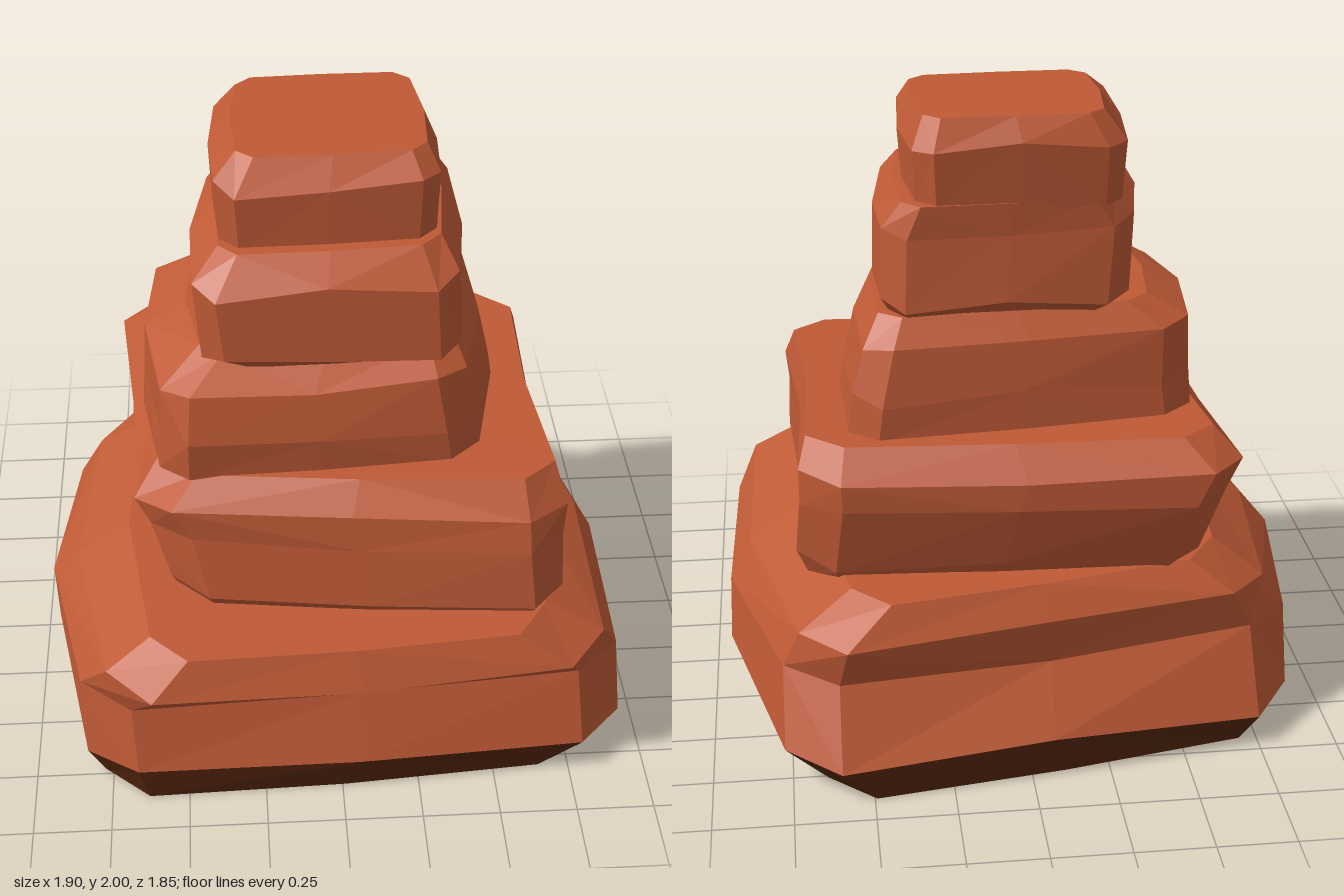
import * as THREE from 'three';

function makeMaterial(name, color) {
  const material = new THREE.MeshStandardMaterial({ color, flatShading: true });
  material.name = name;
  return material;
}

const sandstone = makeMaterial('red sandstone', 0xbf5a36);
const darkEarth = makeMaterial('dark earth', 0x57270f);

// Small seeded generator for chipped edges, from -0.5 to 0.5
function makeRandom(seed) {
  let s = seed;
  return () => {
    s = (s * 16807) % 2147483647;
    return s / 2147483647 - 0.5;
  };
}

// Plan of a slab: four corners [x, z], each cut off, with the left and right sides bowed outwards
function makeOutline(corners, bow) {
  return corners.flatMap(([x, z], i) => {
    const [nx, nz] = corners[(i + 1) % 4];
    const dx = nx - x, dz = nz - z;
    const along = (t, out) => [x + dx * t + dz * out, z + dz * t - dx * out];
    return [along(0.09, 0), along(0.5, i % 2 ? bow : 0.01), along(0.91, 0)];
  });
}

// One slab: its plan is fitted to each ring [y, xMin, xMax, zMin, zMax], from the bottom up
function makeSlab(name, underside, seed, corners, bow, rings) {
  const random = makeRandom(seed);
  const outline = makeOutline(corners, bow);
  const n = outline.length;
  const fractions = [0, 1].map((axis) => {
    const values = outline.map((p) => p[axis]);
    const min = Math.min(...values);
    const size = Math.max(...values) - min;
    return values.map((v) => (v - min) / size);
  });

  const loops = rings.map(([y, x0, x1, z0, z1], i) => {
    const rough = i > 0 && i < rings.length - 1 ? 1 : 0;
    return outline.map((_, j) => {
      const chip = 1 + rough * random() * 0.025;
      const x = THREE.MathUtils.lerp(x0, x1, fractions[0][j]);
      const z = THREE.MathUtils.lerp(z0, z1, fractions[1][j]);
      return [x * chip, y + rough * random() * 0.04, z * chip];
    });
  });

  const positions = [];
  const tri = (a, b, c) => positions.push(...a, ...b, ...c);
  const cap = (loop, emit) => {
    const centre = [0, 1, 2].map((k) => loop.reduce((sum, p) => sum + p[k], 0) / n);
    loop.forEach((p, j) => emit(centre, p, loop[(j + 1) % n]));
  };
  // Side strip, with diagonals varied like broken stone
  const strip = (i) => {
    for (let j = 0; j < n; j++) {
      const k = (j + 1) % n;
      const a = loops[i][k], b = loops[i][j], c = loops[i + 1][j], d = loops[i + 1][k];
      if ((i + j) % 3) {
        tri(a, b, c);
        tri(a, c, d);
      } else {
        tri(a, b, d);
        tri(b, c, d);
      }
    }
  };

  // The underside is the bottom cap and the lowest strip
  cap(loops[0], tri);
  strip(0);
  const split = positions.length / 3;
  for (let i = 1; i + 1 < loops.length; i++) strip(i);
  cap(loops[loops.length - 1], (centre, p, q) => tri(centre, q, p));

  const geometry = new THREE.BufferGeometry();
  geometry.setAttribute('position', new THREE.Float32BufferAttribute(positions, 3));
  geometry.computeVertexNormals();
  geometry.addGroup(0, split, 0);
  geometry.addGroup(split, positions.length / 3 - split, 1);
  const mesh = new THREE.Mesh(geometry, [underside, sandstone]);
  mesh.name = name;
  return mesh;
}

export function createModel() {
  const group = new THREE.Group();
  group.name = 'layeredRockStack';
  group.add(
    makeSlab('baseSlab', darkEarth, 41, [[0.93, 0.88], [-0.83, 0.97], [-0.89, -0.7], [0.74, -0.98]], 0.05, [
      [0, -0.87, 0.79, -0.89, 0.86],
      [0.12, -0.94, 0.94, -0.93, 0.89],
      [0.36, -0.94, 0.93, -0.79, 0.82],
      [0.49, -0.85, 0.87, -0.83, 0.93],
      [0.6, -0.68, 0.67, -0.75, 0.88],
    ]),
    makeSlab('secondSlab', sandstone, 1018, [[0.75, 0.73], [-0.66, 0.61], [-0.73, -0.66], [0.72, -0.6]], -0.02, [
      [0.53, -0.54, 0.69, -0.55, 0.66],
      [0.62, -0.58, 0.73, -0.59, 0.72],
      [0.83, -0.64, 0.71, -0.65, 0.69],
      [0.93, -0.7, 0.72, -0.65, 0.67],
      [1.03, -0.61, 0.69, -0.56, 0.58],
    ]),
    makeSlab('middleSlab', sandstone, 1995, [[0.44, 0.46], [-0.52, 0.52], [-0.54, -0.38], [0.52, -0.5]], 0.05, [
      [1.02, -0.61, 0.55, -0.48, 0.51],
      [1.14, -0.6, 0.53, -0.47, 0.515],
      [1.31, -0.59, 0.49, -0.44, 0.48],
      [1.39, -0.46, 0.44, -0.37, 0.36],
    ]),
    makeSlab('fourthSlab', sandstone, 2972, [[0.42, 0.46], [-0.44, 0.5], [-0.38, -0.38], [0.45, -0.42]], 0.03, [
      [1.34, -0.31, 0.38, -0.31, 0.37],
      [1.42, -0.41, 0.43, -0.39, 0.48],
      [1.65, -0.43, 0.42, -0.36, 0.46],
      [1.74, -0.35, 0.36, -0.36, 0.36],
    ]),
    makeSlab('topSlab', sandstone, 3949, [[0.33, 0.3], [-0.36, 0.33], [-0.35, -0.35], [0.31, -0.37]], 0.03, [
      [1.72, -0.36, 0.33, -0.35, 0.32],
      [1.92, -0.37, 0.34, -0.36, 0.315],
      [2, -0.3, 0.3, -0.31, 0.24],
    ]),
  );
  return group;
}
